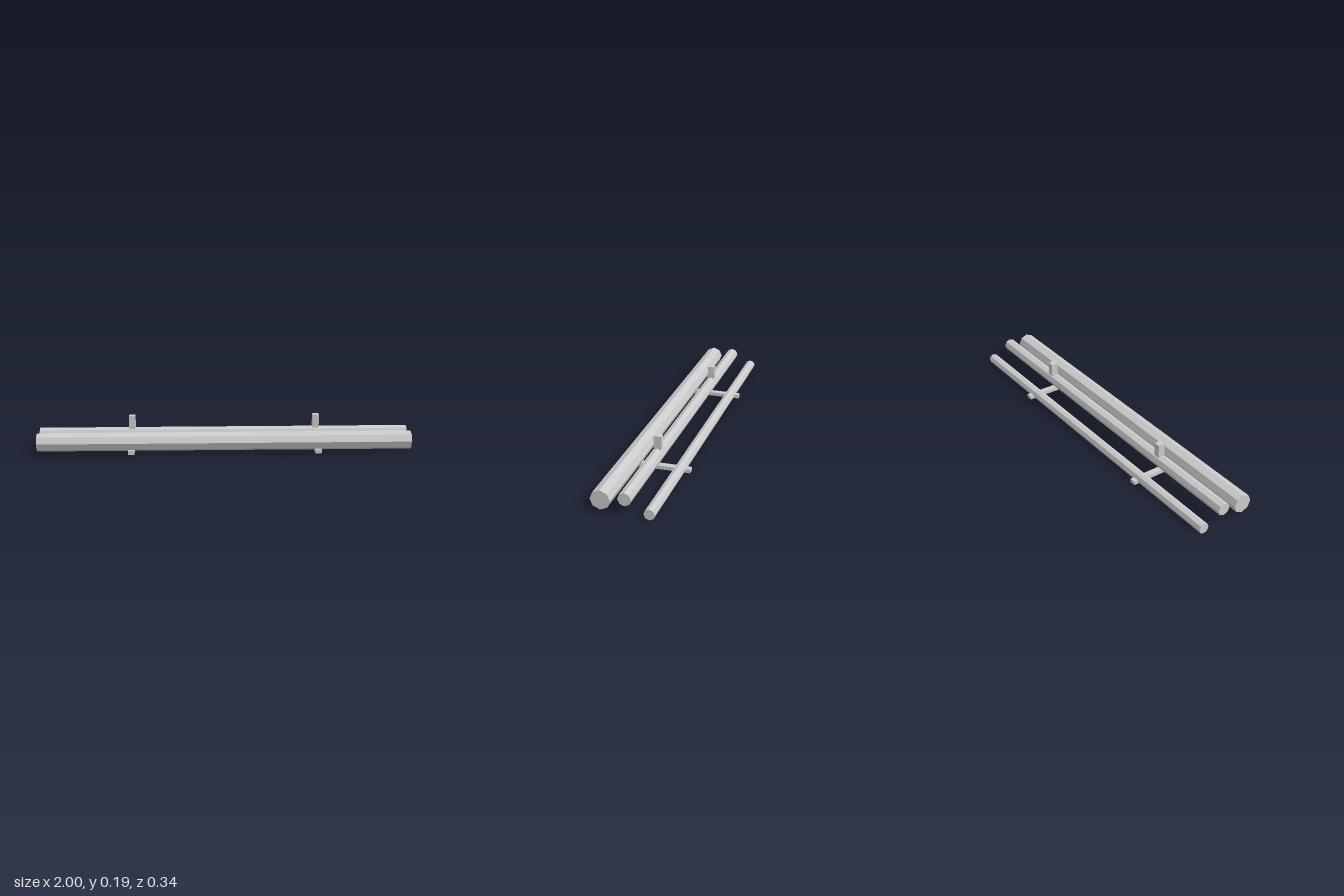
import * as THREE from 'three';

const material = new THREE.MeshStandardMaterial({ color: 0xcccccc, flatShading: true });

function addMesh(group, name, geometry, x, y, z) {
  const mesh = new THREE.Mesh(geometry, material);
  mesh.name = name;
  mesh.position.set(x, y, z);
  group.add(mesh);
}

export function createModel() {
  const group = new THREE.Group();
  group.name = 'pipeRack';

  // Three octagonal pipes running along x
  const pipes = [
    ['largePipe', 0.05, 0.07, 0.12],
    ['mediumPipe', 0.034, 0.09, 0],
    ['smallPipe', 0.028, 0.03, -0.12],
  ];
  for (const [name, radius, y, z] of pipes) {
    const geometry = new THREE.CylinderGeometry(radius, radius, 2, 8).rotateZ(Math.PI / 2);
    addMesh(group, name, geometry, 0, y, z);
  }

  // Cross bars beneath the pipes and hanger posts on the middle pipe
  for (const [side, x] of [['left', 0.5], ['right', -0.5]]) {
    addMesh(group, side + 'CrossBar', new THREE.BoxGeometry(0.034, 0.02, 0.34), x, 0.02, 0);
    addMesh(group, side + 'HangerPost', new THREE.BoxGeometry(0.034, 0.08, 0.038), x, 0.15, 0);
  }
  return group;
}
